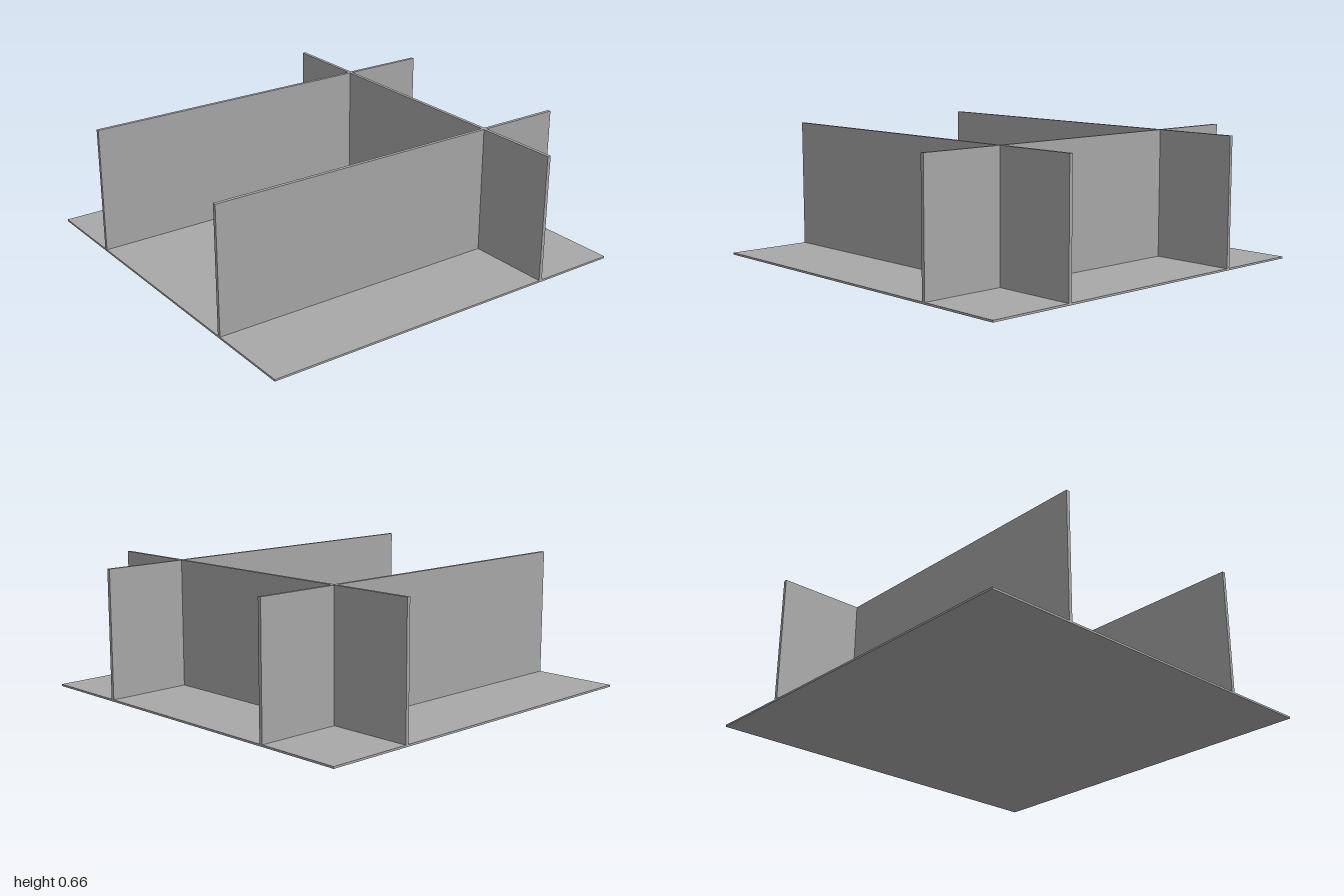
import * as THREE from 'three';

export function createModel() {
  const model = new THREE.Group();
  const grey = new THREE.MeshStandardMaterial({ color: 0xa8a8a8 });
  grey.name = 'plain grey';

  const add = (name, geometry, x, y, z, parent = model) => {
    const mesh = new THREE.Mesh(geometry, grey);
    mesh.name = name;
    mesh.position.set(x, y, z);
    parent.add(mesh);
    return mesh;
  };

  // Floor slab and the crossing partition walls
  const floorTop = 0.01, wallTop = 0.66, wallThick = 0.018;
  const wallHeight = wallTop - floorTop, wallY = (wallTop + floorTop) / 2;
  add('floor', new THREE.BoxGeometry(2, floorTop, 2), 0, floorTop / 2, 0);
  add('backWall', new THREE.BoxGeometry(2, wallHeight, wallThick), 0, wallY, -0.553);
  for (const side of [-1, 1]) {
    add(side < 0 ? 'rightWall' : 'leftWall',
      new THREE.BoxGeometry(wallThick, wallHeight, 2), side * 0.55, wallY, 0);
  }

  // Table with four slim legs
  const table = new THREE.Group();
  table.name = 'table';
  model.add(table);
  const tableTop = 0.165, topThick = 0.009;
  add('tableTop', new THREE.BoxGeometry(0.48, topThick, 0.232), 0, tableTop - topThick / 2, -0.003, table);
  const legHeight = tableTop - topThick - floorTop;
  for (const x of [-0.21, 0.21]) {
    for (const z of [-0.09, 0.09]) {
      add('tableLeg', new THREE.CylinderGeometry(0.006, 0.006, legHeight, 16),
        x, floorTop + legHeight / 2, z, table);
    }
  }

  // Small objects resting on the table
  add('ball', new THREE.SphereGeometry(0.012, 24, 16), -0.064, tableTop + 0.012, -0.04, table);
  add('rod', new THREE.CylinderGeometry(0.004, 0.004, 0.038, 16), 0, tableTop + 0.019, 0.015, table);
  add('block', new THREE.BoxGeometry(0.043, 0.016, 0.032), 0.047, tableTop + 0.008, 0.061, table);

  return model;
}
